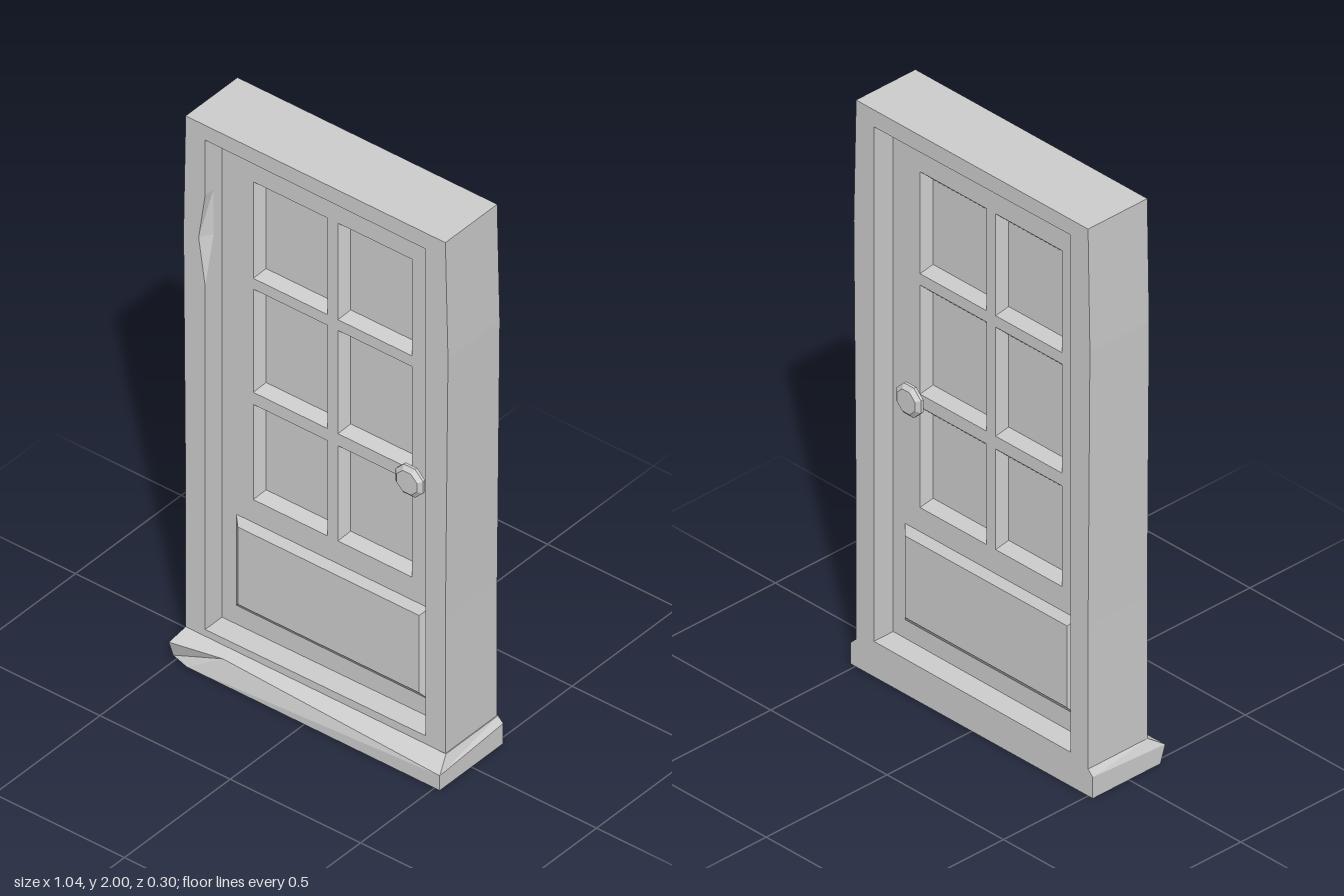
import * as THREE from 'three';

const material = new THREE.MeshStandardMaterial({ color: 0xcccccc, flatShading: true });

function addMesh(parent, name, geometry) {
  const mesh = new THREE.Mesh(geometry, material);
  mesh.name = name;
  parent.add(mesh);
  return mesh;
}

// Skin consecutive rings of points and close the last one (optionally the first).
function loft(rings, capStart = false) {
  const n = rings[0].length;
  const index = [];
  for (let i = 0; i < rings.length - 1; i++) {
    for (let j = 0; j < n; j++) {
      const a = i * n + j, b = i * n + (j + 1) % n;
      index.push(a, b, b + n, a, b + n, a + n);
    }
  }
  const last = (rings.length - 1) * n;
  for (let j = 1; j < n - 1; j++) {
    index.push(last, last + j, last + j + 1);
    if (capStart) index.push(0, j + 1, j);
  }
  const geometry = new THREE.BufferGeometry();
  geometry.setAttribute('position', new THREE.Float32BufferAttribute(rings.flat(2), 3));
  geometry.setIndex(index);
  const flat = geometry.toNonIndexed();
  flat.computeVertexNormals();
  return flat;
}

const rect = (x0, y0, x1, y1, z) => [[x0, y0, z], [x1, y0, z], [x1, y1, z], [x0, y1, z]];
const toPoints = (list) => list.map(([x, y]) => new THREE.Vector2(x, y));

// Bevelled rectangle: sunken when z1 < z0, raised when z1 > z0.
function bevelPanel([x0, y0, x1, y1], bx, by, z0, z1) {
  return loft([rect(x0, y0, x1, y1, z0), rect(x0 + bx, y0 + by, x1 - bx, y1 - by, z1)]);
}

function createFrame(parent) {
  const back = -0.15, front = 0.095, chipX = -0.45;
  // Outer sides bulge slightly; the opening has a chipped edge on one side.
  const shape = new THREE.Shape(toPoints([
    [-0.5, 0.09], [0.497, 0.09], [0.497, 0.6], [0.507, 1.57], [0.497, 2],
    [-0.5, 2], [-0.508, 1.57], [-0.5, 0.6],
  ]));
  shape.holes.push(new THREE.Path(toPoints([
    [-0.425, 0.12], [-0.425, 1.4], [chipX, 1.57], [-0.425, 1.74],
    [-0.425, 1.945], [0.42, 1.94], [0.42, 0.125],
  ])));
  const geometry = new THREE.ExtrudeGeometry(shape, { depth: front - back, steps: 2, bevelEnabled: false });
  geometry.translate(0, 0, back);
  // Keep the chip on the front edge only.
  const p = geometry.attributes.position;
  for (let i = 0; i < p.count; i++) {
    const z = p.getZ(i);
    if (z < front - 0.01) {
      if (Math.abs(p.getX(i) - chipX) < 0.001) p.setX(i, -0.425);
      if (z > back + 0.01) p.setZ(i, 0.055);
    }
  }
  geometry.computeVertexNormals();
  addMesh(parent, 'doorFrame', geometry);
}

function createSill(parent) {
  // Rings run from the hollow underside, round the rim, up to the top.
  addMesh(parent, 'sill', loft([
    [[-0.48, 0.05, 0.11], [-0.42, 0.05, 0.11], [0.48, 0.05, 0.11], [0.48, 0.05, -0.12], [-0.48, 0.05, -0.12]],
    [[-0.48, 0, 0.11], [-0.42, 0, 0.11], [0.48, 0, 0.11], [0.48, 0, -0.12], [-0.48, 0, -0.12]],
    [[-0.52, 0, 0.13], [-0.45, 0, 0.15], [0.52, 0, 0.15], [0.52, 0, -0.15], [-0.52, 0, -0.15]],
    [[-0.52, 0.06, 0.15], [-0.33, 0.075, 0.128], [0.52, 0.055, 0.15], [0.52, 0.075, -0.15], [-0.52, 0.075, -0.15]],
    [[-0.5, 0.095, 0.096], [-0.33, 0.095, 0.096], [0.5, 0.095, 0.096], [0.5, 0.095, -0.15], [-0.5, 0.095, -0.15]],
  ], true));
}

function createDoor(parent) {
  const door = new THREE.Group();
  door.name = 'door';
  door.position.z = -0.0275;
  parent.add(door);
  const half = 0.043;

  const windows = [];
  for (const [y0, y1] of [[0.615, 0.97], [1.015, 1.4], [1.44, 1.8]]) {
    windows.push([-0.305, y0, -0.02, y1], [0.02, y0, 0.305, y1]);
  }

  // Door leaf pierced by the six windows
  const leaf = new THREE.Shape(toPoints([[-0.43, 0.115], [0.43, 0.115], [0.43, 1.95], [-0.43, 1.95]]));
  for (const [x0, y0, x1, y1] of windows) {
    leaf.holes.push(new THREE.Path(toPoints([[x0, y0], [x0, y1], [x1, y1], [x1, y0]])));
  }
  const leafGeometry = new THREE.ExtrudeGeometry(leaf, { depth: half * 2, bevelEnabled: false });
  leafGeometry.translate(0, 0, -half);
  addMesh(door, 'doorLeaf', leafGeometry);

  for (const side of [1, -1]) {
    const face = new THREE.Group();
    face.name = side > 0 ? 'frontFace' : 'backFace';
    face.rotation.y = side > 0 ? 0 : Math.PI;
    door.add(face);

    // Sunken windows and raised lower panel
    for (const w of windows) addMesh(face, 'windowPane', bevelPanel(w, 0.024, 0.03, half, 0.012));
    addMesh(face, 'lowerPanel', bevelPanel([-0.37, 0.19, 0.37, 0.53], 0.022, 0.026, half, half + 0.02));

    // Eight-sided knob on a short stem
    const profile = toPoints([[0.022, 0], [0.022, 0.012], [0.057, 0.022], [0.057, 0.032], [0.042, 0.044], [0, 0.044]]);
    const knob = addMesh(face, 'knob', new THREE.LatheGeometry(profile, 8, Math.PI / 8));
    knob.rotation.x = Math.PI / 2;
    knob.position.set(0.32 * side, 1, half);
  }
}

export function createModel() {
  const model = new THREE.Group();
  model.name = 'panelledDoor';
  createFrame(model);
  createSill(model);
  createDoor(model);
  return model;
}
